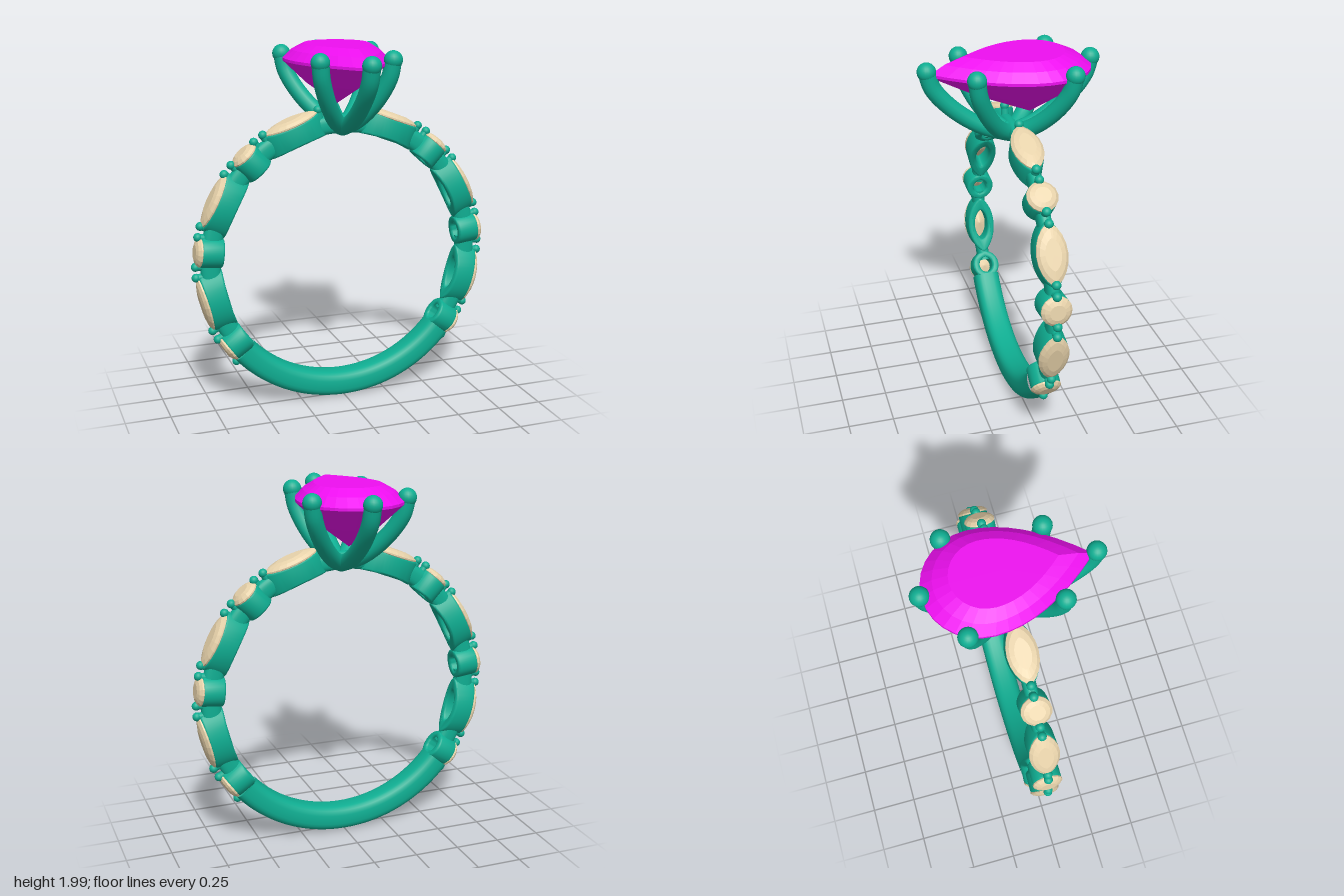
import * as THREE from 'three';
import { toCreasedNormals } from 'three/addons/utils/BufferGeometryUtils.js';

const metal = new THREE.MeshStandardMaterial({ color: 0x0fae92 });
const paleStone = new THREE.MeshStandardMaterial({ color: 0xe8d3ab, flatShading: true });
const pinkStone = new THREE.MeshStandardMaterial({ color: 0xee0ff0, flatShading: true });

const INNER = 0.69, OUTER = 0.83;
const rad = THREE.MathUtils.degToRad;

function add(parent, name, geometry, material) {
  const mesh = new THREE.Mesh(geometry, material);
  mesh.name = name;
  parent.add(mesh);
  return mesh;
}

// Oval outline; a power above 1 sharpens its two ends
function oval(length, width, power, n) {
  return Array.from({ length: n }, (_, i) => {
    const t = (i / n) * Math.PI * 2, s = Math.sin(t);
    return new THREE.Vector2(length * Math.cos(t), width * Math.sign(s) * Math.abs(s) ** power);
  });
}

// Pear outline: round at the back, pointed at the front
function pear() {
  const side = new THREE.QuadraticBezierCurve(
    new THREE.Vector2(0.28, -0.14), new THREE.Vector2(0.28, 0.12), new THREE.Vector2(0, 0.42)).getPoints(8);
  const mirrored = side.slice(0, -1).reverse().map(p => new THREE.Vector2(-p.x, p.y));
  const back = [];
  for (let i = 1; i < 14; i++) {
    const a = Math.PI * (1 + i / 14);
    back.push(new THREE.Vector2(0.28 * Math.cos(a), -0.14 + 0.29 * Math.sin(a)));
  }
  return [...side, ...mirrored, ...back];
}

// Cut stone from scaled copies of one outline: layers of [scale, height, z shift]
function cutStone(outline, layers) {
  const n = outline.length, pos = [], index = [];
  layers.forEach(([s, y, dz = 0], k) => outline.forEach((p, i) => {
    pos.push(p.x * s, y, p.y * s + dz);
    if (k === layers.length - 1) return;
    const a = k * n + i, b = k * n + (i + 1) % n, c = a + n, d = b + n;
    index.push(a, c, b, b, c, d);
  }));
  const g = new THREE.BufferGeometry();
  g.setAttribute('position', new THREE.Float32BufferAttribute(pos, 3));
  g.setIndex(index);
  const flat = g.toNonIndexed();
  flat.computeVertexNormals();
  return flat;
}

// Rounded band section swept between two angles measured from the top
function bandArc(from, to, inner, outer, halfWidth, power) {
  const mid = (inner + outer) / 2, half = (outer - inner) / 2, pts = [];
  for (let i = 0; i <= 28; i++) {
    const t = (i / 28) * Math.PI * 2, c = Math.cos(t), s = Math.sin(t);
    pts.push(new THREE.Vector2(mid + half * Math.sign(c) * Math.abs(c) ** power,
      halfWidth * Math.sign(s) * Math.abs(s) ** power));
  }
  const segments = Math.max(6, Math.round((to - from) / 1.5));
  return new THREE.LatheGeometry(pts, segments, rad(from), rad(to - from)).rotateX(-Math.PI / 2);
}

// Hollow stone seat: flat outside, following the finger hole inside
function seatGeometry(length, width, power, top) {
  const bevel = 0.012;
  const shape = new THREE.Shape(oval(length, width, power, 48));
  shape.holes.push(new THREE.Path(oval(length * 0.55, width * 0.5, power, 32).reverse()));
  const g = new THREE.ExtrudeGeometry(shape, {
    depth: top - INNER - 2 * bevel, bevelThickness: bevel, bevelSize: bevel,
    bevelOffset: -bevel, bevelSegments: 3,
  });
  g.rotateX(-Math.PI / 2).translate(0, INNER + bevel, 0);
  const p = g.attributes.position;
  for (let i = 0; i < p.count; i++) {
    if (p.getY(i) > INNER + 0.03) continue;
    p.setY(i, p.getY(i) + Math.sqrt(INNER ** 2 - p.getX(i) ** 2) - INNER);
  }
  return toCreasedNormals(g, 0.7);
}

export function createModel() {
  const model = new THREE.Group();
  model.name = 'ring';

  const band = new THREE.Group();
  band.name = 'band';
  band.position.set(0, 0.835, -0.01);
  model.add(band);

  // Plain lower shank
  add(band, 'shank', bandArc(130, 230, INNER - 0.005, OUTER, 0.077, 0.7), metal);
  // Bridge under the head
  add(band, 'bridge', bandArc(-12, 12, INNER, 0.79, 0.035, 0.8), metal);

  // Two alternating kinds of stone and their seats
  const kinds = [
    { seat: seatGeometry(0.168, 0.08, 1.35, 0.806), outline: oval(0.158, 0.082, 1.35, 20), base: 0.806, name: 'marquise' },
    { seat: seatGeometry(0.083, 0.08, 1, 0.812), outline: oval(0.081, 0.082, 1, 16), base: 0.812, name: 'round' },
  ];
  for (const k of kinds) {
    k.stone = cutStone(k.outline, [[0, k.base - 0.06], [0.6, k.base - 0.03], [1, k.base - 0.002],
      [1, k.base + 0.006], [0.82, k.base + 0.02], [0.52, k.base + 0.029], [0, k.base + 0.029]]);
  }
  const stoneAngles = [21, 42.5, 63.2, 83.6, 104.6, 125.4];
  const neckAngles = [34.5, 50.5, 75.8, 91.4, 117.8];
  const beadAngles = [9.5, ...neckAngles.flatMap(a => [a - 2.1, a + 2.1]), 131.8];
  const beadGeometry = new THREE.SphereGeometry(0.024, 16, 12);
  const postGeometry = new THREE.CylinderGeometry(0.02, 0.026, 0.12, 12);

  for (const side of [1, -1]) {
    const holder = (name, angle) => {
      const g = new THREE.Group();
      g.name = name;
      g.rotation.z = -side * rad(angle);
      band.add(g);
      return g;
    };
    stoneAngles.forEach((angle, i) => {
      const k = kinds[i % 2], g = holder(k.name + 'Setting', angle);
      add(g, k.name + 'Seat', k.seat, metal);
      add(g, k.name + 'Stone', k.stone, paleStone);
    });
    // Narrow necks between the seats
    for (const a of neckAngles) {
      add(holder('neckJoint', a), 'neck', bandArc(-5, 5, INNER + 0.005, 0.805, 0.036, 0.8), metal);
    }
    // Beads on short posts holding the stone ends
    for (const a of beadAngles) {
      const g = holder('beadProng', a);
      add(g, 'bead', beadGeometry, metal).position.y = 0.832;
      add(g, 'beadPost', postGeometry, metal).position.y = 0.77;
    }
  }

  // Head with the large pear stone
  const head = new THREE.Group();
  head.name = 'head';
  model.add(head);
  add(head, 'pearStone', cutStone(pear(), [[0, 1.667, -0.11], [0.56, 1.785, -0.05], [1, 1.905],
    [1, 1.92], [0.84, 1.965, -0.008], [0.63, 2, -0.02], [0, 2, -0.02]]), pinkStone);

  // Six curved prongs rising from one point
  const prongEnds = [[0, 0.438], [0, -0.438], [0.26, -0.27], [-0.26, -0.27], [0.2, 0.225], [-0.2, 0.225]];
  const rise = [[0, 1.555], [0.32, 1.605], [0.67, 1.71], [0.93, 1.84], [1, 1.935]];
  for (const [x, z] of prongEnds) {
    const path = new THREE.CatmullRomCurve3(rise.map(([f, y]) => new THREE.Vector3(x * f, y, z * f)));
    add(head, 'prong', new THREE.TubeGeometry(path, 28, 0.046, 16), metal);
    add(head, 'prongTip', new THREE.SphereGeometry(0.05, 20, 14), metal).position.set(x, 1.935, z);
  }
  const hub = add(head, 'headBase', new THREE.SphereGeometry(0.06, 20, 14), metal);
  hub.position.y = 1.57;
  hub.scale.y = 0.85;

  return model;
}
